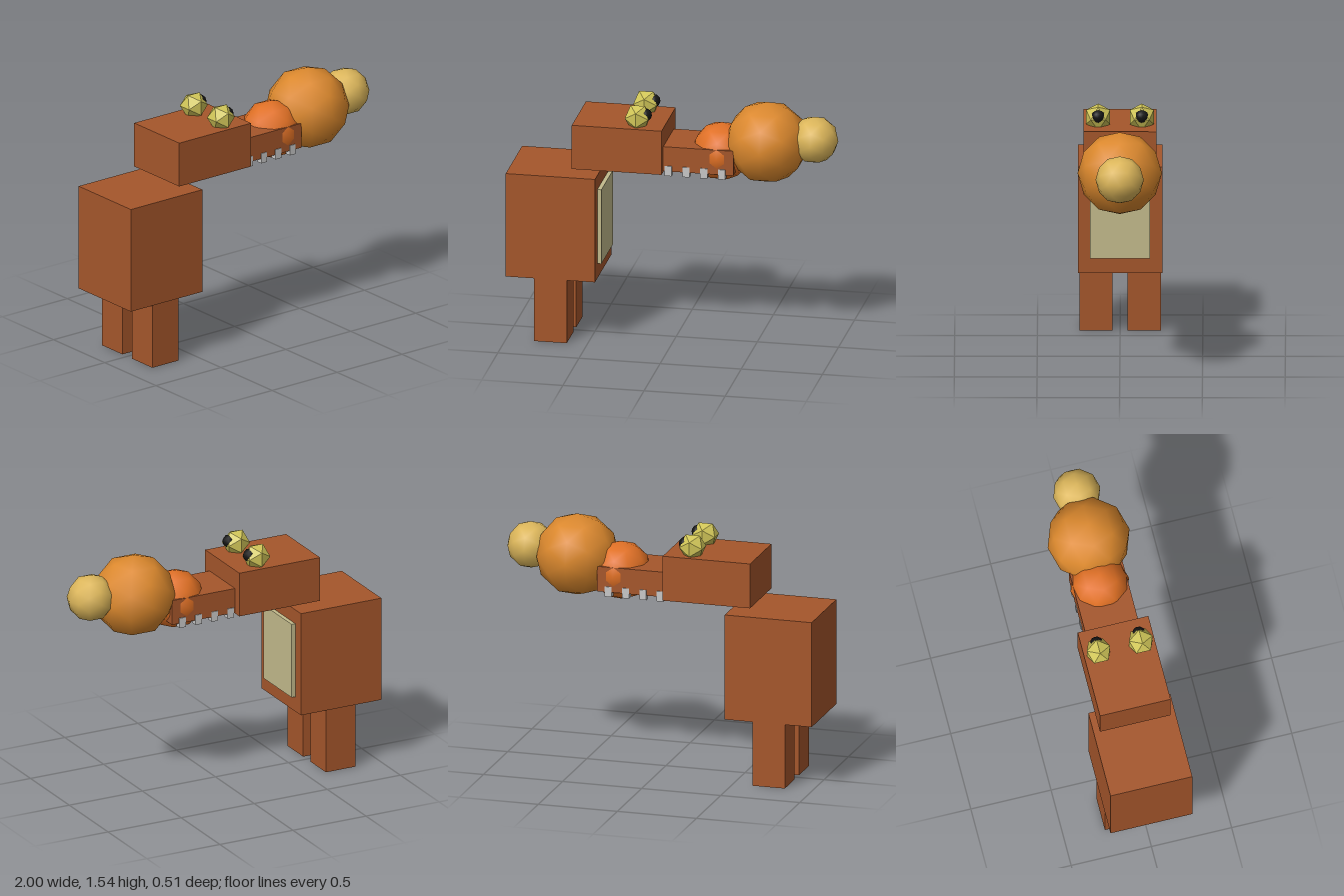
import * as THREE from 'three';

export function createModel() {
  const group = new THREE.Group();
  const mat = (name, color, flatShading = false) => {
    const m = new THREE.MeshStandardMaterial({ color, flatShading });
    m.name = name;
    return m;
  };
  const hide = mat('brown hide', 0xa5562b);
  const cream = mat('cream belly', 0xc3bb8c);
  const toothGrey = mat('light grey tooth', 0xc8c8c8);
  const eyeYellow = mat('yellow eye', 0xd0c558, true);
  const black = mat('black pupil', 0x141414);
  const deepOrange = mat('deep orange flame', 0xe07024);
  const orange = mat('orange flame', 0xdb882d);
  const paleFlame = mat('pale yellow flame', 0xdcb65a);

  const add = (name, geometry, material, x, y, z) => {
    const mesh = new THREE.Mesh(geometry, material);
    mesh.name = name;
    mesh.position.set(x, y, z);
    group.add(mesh);
  };
  // Box given by its lower and upper limits on each axis
  const box = (name, material, [x0, x1], [y0, y1], [z0, z1]) =>
    add(name, new THREE.BoxGeometry(x1 - x0, y1 - y0, z1 - z0), material,
      (x0 + x1) / 2, (y0 + y1) / 2, (z0 + z1) / 2);
  const ball = (name, material, r, detail, x, y, z) => {
    add(name, new THREE.IcosahedronGeometry(r, detail), material, x, y, z);
  };

  // Torso, head and snout
  box('body', hide, [-1, -0.45], [0.405, 1.065], [-0.255, 0.255]);
  box('belly', cream, [-0.45, -0.425], [0.5, 0.975], [-0.182, 0.182]);
  box('head', hide, [-0.6, -0.047], [1.11, 1.39], [-0.22, 0.22]);
  box('snout', hide, [-0.047, 0.385], [1.115, 1.272], [-0.165, 0.165]);

  // Paired parts
  for (const s of [-1, 1]) {
    const side = s < 0 ? 'back' : 'front';
    const z = (a, b) => (s < 0 ? [-b, -a] : [a, b]);
    box(side + 'Leg', hide, [-0.828, -0.625], [0, 0.405], z(0.046, 0.247));
    ball(side + 'Eye', eyeYellow, 0.085, 0, -0.21, 1.44, s * 0.132);
    ball(side + 'Pupil', black, 0.041, 1, -0.164, 1.456, s * 0.132);
    for (let i = 0; i < 4; i++) {
      const x = -0.016 + i * 0.11;
      box(side + 'Tooth' + (i + 1), toothGrey, [x - 0.022, x + 0.022], [1.087, 1.15], z(0.13, 0.17));
    }
  }

  // Burst of flame from the mouth
  ball('innerFlame', deepOrange, 0.182, 1, 0.282, 1.213, 0);
  ball('middleFlame', orange, 0.255, 1, 0.56, 1.288, 0);
  ball('outerFlame', paleFlame, 0.146, 1, 0.853, 1.322, 0);

  return group;
}
